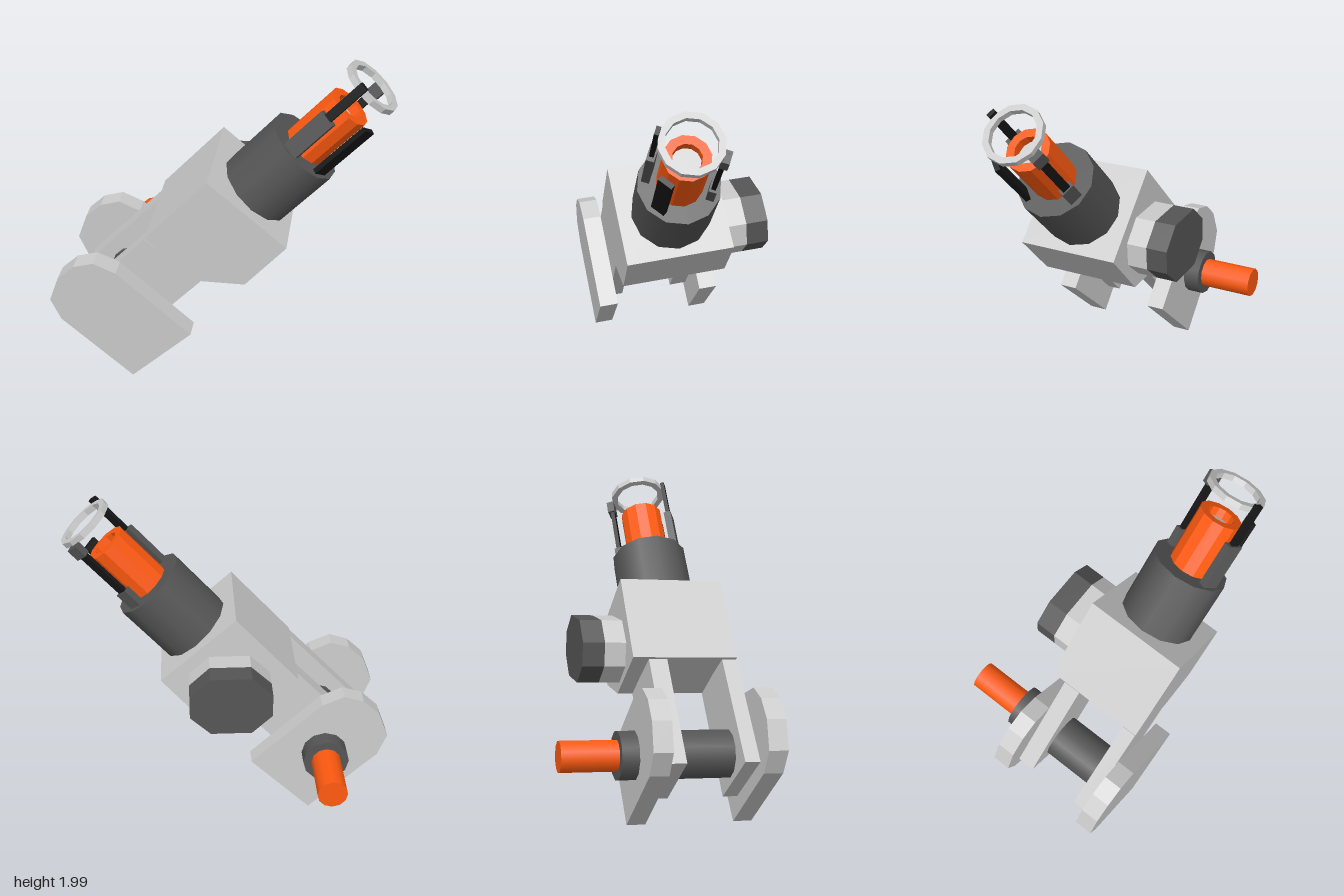
import * as THREE from 'three';

const mat = (color, flat = true) => new THREE.MeshStandardMaterial({ color, flatShading: flat, side: THREE.DoubleSide });
const GREY = 0xcccccc, DARK = 0x555555, BLACK = 0x161616, ORANGE = 0xff5a10;

function add(parent, name, geometry, color, flat = true) {
  const mesh = new THREE.Mesh(geometry, mat(color, flat));
  mesh.name = name;
  parent.add(mesh);
  return mesh;
}

// Flat slab with an x-y outline, spanning z0..z1
function slab(parent, name, points, z0, z1, color) {
  const shape = new THREE.Shape(points.map(([x, y]) => new THREE.Vector2(x, y)));
  const geometry = new THREE.ExtrudeGeometry(shape, { depth: z1 - z0, bevelEnabled: false });
  add(parent, name, geometry.translate(0, 0, z0), color);
}

// Cylinder along z, spanning z0..z1
function axle(parent, name, x, y, r, z0, z1, color) {
  const geometry = new THREE.CylinderGeometry(r, r, z1 - z0, 12).rotateX(Math.PI / 2);
  add(parent, name, geometry, color, false).position.set(x, y, (z0 + z1) / 2);
}

// Square-edged tube around y
function tube(parent, name, inner, outer, y0, y1, color, sides, flat) {
  const profile = [[inner, y0], [outer, y0], [outer, y1], [inner, y1], [inner, y0]];
  const geometry = new THREE.LatheGeometry(profile.map(([r, y]) => new THREE.Vector2(r, y)), sides);
  return add(parent, name, geometry, color, flat);
}

export function createModel() {
  const model = new THREE.Group();
  model.name = 'roboticArm';
  const arm = new THREE.Group();
  arm.name = 'tiltedArm';
  arm.rotation.x = 0.047;
  model.add(arm);

  // Two round-ended shoulder plates
  const plate = [[-0.49, 0.035], [-0.125, 0.4], [-0.55, 0.805], [-0.68, 0.862],
    [-0.8, 0.825], [-0.9, 0.73], [-0.96, 0.57], [-0.905, 0.43]];
  slab(arm, 'frontShoulderPlate', plate, 0.442, 0.555, GREY);
  slab(arm, 'rearShoulderPlate', plate, -0.2, -0.09, GREY);

  // Fork carrying the elbow block
  const fork = [[-0.4, 0.975], [-0.86, 0.485], [-0.54, 0.2], [-0.07, 0.72]];
  slab(arm, 'frontFork', fork, 0.35, 0.438, GREY);
  slab(arm, 'rearFork', fork, -0.088, 0.02, GREY);

  // Elbow block
  slab(arm, 'elbowBlock',
    [[-0.03, 1.395], [-0.4, 0.985], [-0.08, 0.715], [0.18, 0.718], [0.415, 1.0]], -0.18, 0.441, GREY);

  // Shoulder pivot and its drive shaft
  axle(arm, 'shoulderPivot', -0.575, 0.462, 0.14, -0.3, 0.37, DARK);
  axle(arm, 'driveShaft', -0.575, 0.462, 0.09, -0.625, -0.28, ORANGE);

  // Rear motor housing and cap
  const motor = [[0.12, -0.185], [0.24, -0.07], [0.24, 0.07], [0.12, 0.185],
    [-0.12, 0.185], [-0.24, 0.07], [-0.24, -0.07], [-0.12, -0.185]].map(([x, y]) => [x + 0.01, y + 0.972]);
  slab(arm, 'motorHousing', motor, -0.305, -0.17, GREY);
  slab(arm, 'motorCap', motor, -0.435, -0.305, DARK);

  // Forearm: y runs along the arm, zero at the end of the dark sleeve
  const forearm = new THREE.Group();
  forearm.name = 'forearm';
  forearm.position.set(0.475, 1.49, 0.13);
  forearm.rotation.z = -0.725;
  arm.add(forearm);
  add(forearm, 'sleeve', new THREE.CylinderGeometry(0.233, 0.233, 0.43, 12), DARK, false).position.y = -0.215;
  tube(forearm, 'barrel', 0.08, 0.13, -0.01, 0.355, ORANGE, 12, true);
  add(forearm, 'barrelCore', new THREE.CylinderGeometry(0.08, 0.08, 0.3, 12), GREY, false).position.y = 0.15;
  tube(forearm, 'endRing', 0.138, 0.175, 0.505, 0.54, GREY, 12, true);

  // Rods around the barrel: each piece is [name, radius, width, thickness, from, to, color]
  const rods = [
    [-0.49, [['rodHolder', 0.18, 0.1, 0.045, -0.02, 0.29, DARK], ['rod', 0.18, 0.05, 0.025, 0.2, 0.56, BLACK]]],
    [2.65, [['rodHolder', 0.18, 0.08, 0.045, -0.02, 0.12, DARK], ['rod', 0.18, 0.05, 0.025, 0.1, 0.51, BLACK],
      ['rodClamp', 0.185, 0.075, 0.045, 0.43, 0.51, DARK]]],
    [0.72, [['guardBar', 0.185, 0.085, 0.03, -0.02, 0.38, BLACK]]],
  ];
  for (const [angle, pieces] of rods) {
    const group = new THREE.Group();
    group.name = 'rodAssembly';
    group.rotation.y = angle;
    forearm.add(group);
    for (const [name, r, width, thick, y0, y1, color] of pieces) {
      add(group, name, new THREE.BoxGeometry(width, y1 - y0, thick), color).position.set(0, (y0 + y1) / 2, r);
    }
  }
  return model;
}
